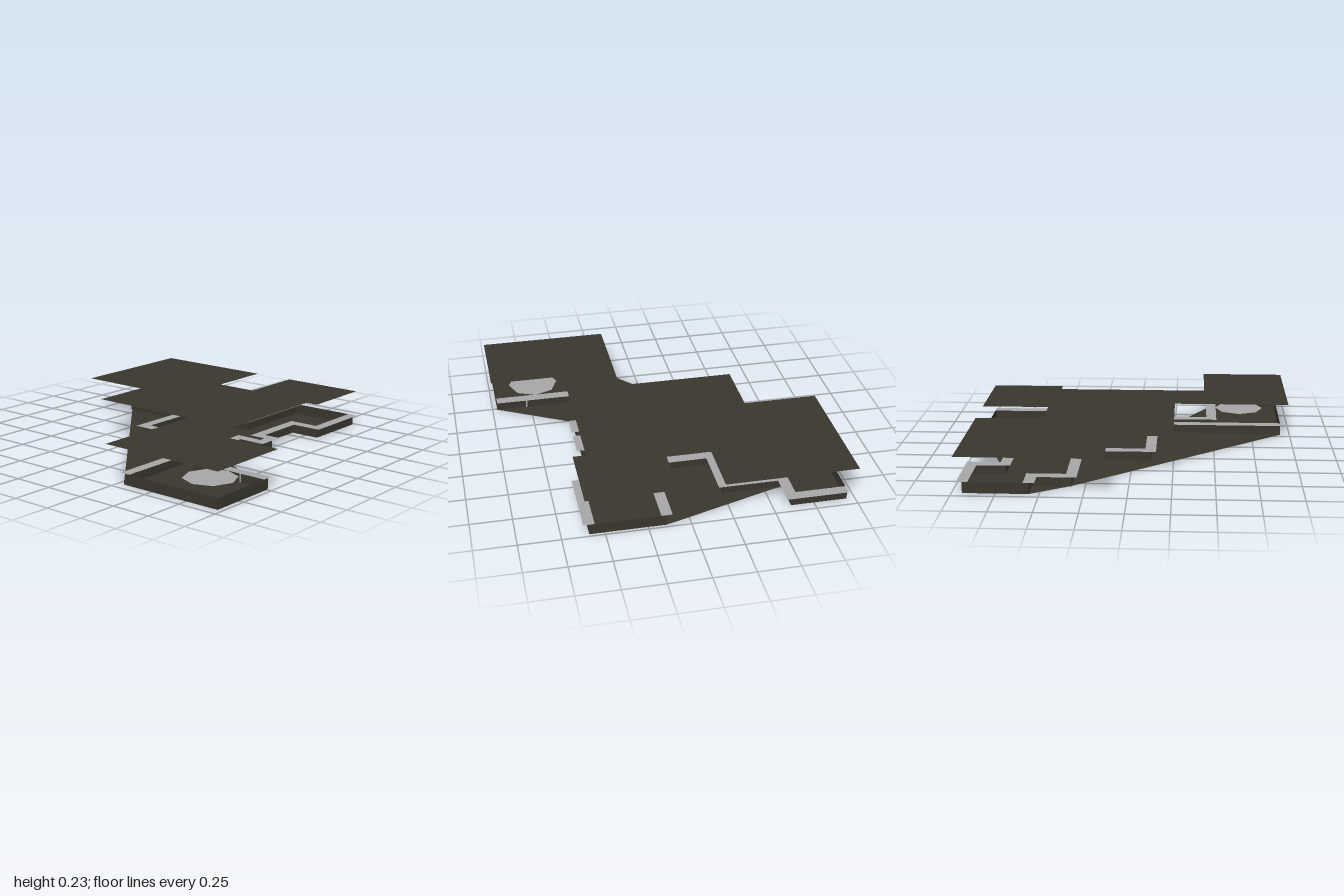
import * as THREE from 'three';

const WALL_H = 0.065, ROOF_Y = 0.23, LEDGE = 0.066;

// Outline of the overhanging roof, as x, z corners
const ROOF = [
  [0.13, -1], [0.98, -1], [0.98, -0.2], [0.56, -0.2], [0.56, 0.07], [0.98, 0.07],
  [0.98, 0.61], [0.52, 0.61], [0.52, 0.53], [-0.44, 0.53], [-0.44, 1], [-0.98, 1],
  [-0.98, 0.19], [-0.25, 0.19], [-0.25, -0.54], [0.13, -0.54],
];

// Closed run of low walls: x, z and whether the wall starting here has a ledge
const WALLS = [
  [0.94, -0.95, 1], [0.94, -0.61, 1], [0.74, -0.61, 1], [0.74, -0.25, 1],
  [0.42, -0.25, 1], [0.42, 0.14, 1], [0.98, 0.14, 0], [0.98, 0.59, 1],
  [0.56, 0.59, 1], [0.56, 0.4, 1], [0.18, 0.4, 1], [0.18, 0.51, 1],
  [0.07, 0.51, 1], [0.07, 0.34, 1], [-0.04, 0.34, 1], [-0.04, 0.51, 1],
  [-0.115, 0.51, 1], [-0.115, 0.37, 1], [-0.195, 0.37, 1], [-0.195, 0.43, 1],
  [-0.49, 0.43, 1], [-0.49, 0.97, 0], [-0.94, 0.97, 0], [-0.94, 0.3, 1],
  [-0.11, 0.3, 1], [-0.11, -0.3, 1], [0.33, -0.3, 1], [0.33, -0.81, 1],
  [0.56, -0.81, 1], [0.56, -0.95, 0],
];

// Floor slab outline, cutting across the inner corners
const FLOOR = [
  [0.94, -0.95], [0.94, -0.61], [0.74, -0.61], [0.98, 0.14], [0.98, 0.59],
  [0.56, 0.59], [0.56, 0.4], [0.18, 0.4], [0.18, 0.51], [0.07, 0.51],
  [0.07, 0.34], [-0.04, 0.34], [-0.04, 0.51], [-0.115, 0.51], [-0.115, 0.37],
  [-0.195, 0.43], [-0.49, 0.97], [-0.94, 0.97], [-0.94, 0.29], [0.33, -0.8],
  [0.56, -0.95],
];

export function createModel() {
  const model = new THREE.Group();
  const dark = new THREE.MeshStandardMaterial({ color: 0x38362d, side: THREE.DoubleSide });
  dark.name = 'dark olive';
  const grey = new THREE.MeshStandardMaterial({ color: 0xa6a6a6, side: THREE.DoubleSide });
  grey.name = 'light grey';

  const add = (parent, name, geometry, material, x = 0, y = 0, z = 0) => {
    const mesh = new THREE.Mesh(geometry, material);
    mesh.name = name;
    mesh.position.set(x, y, z);
    parent.add(mesh);
    return mesh;
  };
  const plate = (points) => new THREE.ShapeGeometry(
    new THREE.Shape(points.map(([x, z]) => new THREE.Vector2(x, -z))),
  ).rotateX(-Math.PI / 2);

  add(model, 'floor', plate(FLOOR), dark);
  add(model, 'roof', plate(ROOF), dark, 0, ROOF_Y);

  // Low walls, each topped by a flat ledge where marked
  const walls = new THREE.Group();
  walls.name = 'walls';
  const ledges = new THREE.Group();
  ledges.name = 'ledges';
  model.add(walls, ledges);
  const n = WALLS.length;
  WALLS.forEach(([x0, z0, hasLedge], i) => {
    const [x1, z1, nextLedge] = WALLS[(i + 1) % n];
    const length = Math.hypot(x1 - x0, z1 - z0);
    const angle = -Math.atan2(z1 - z0, x1 - x0);
    const wall = add(walls, 'wall', new THREE.PlaneGeometry(length, WALL_H), dark,
      (x0 + x1) / 2, WALL_H / 2, (z0 + z1) / 2);
    wall.rotation.y = angle;
    if (!hasLedge) return;

    // Ledges run past a corner only when they meet another ledge
    const before = WALLS[(i + n - 1) % n][2] ? LEDGE / 2 : 0;
    const after = nextLedge ? LEDGE / 2 : 0;
    const strip = new THREE.PlaneGeometry(length + before + after, LEDGE)
      .rotateX(-Math.PI / 2).translate((after - before) / 2, 0, 0);
    add(ledges, 'ledge', strip, grey, (x0 + x1) / 2, WALL_H + 0.001, (z0 + z1) / 2)
      .rotation.y = angle;
  });

  // Flat panel inside the front wing and a narrow light strip on its wall
  add(model, 'wingPanel', new THREE.CircleGeometry(0.16, 8).rotateX(-Math.PI / 2), grey, -0.68, WALL_H, 0.71);
  add(model, 'wallSlit', new THREE.BoxGeometry(0.006, WALL_H, 0.01), grey, -0.488, WALL_H / 2, 0.775);

  return model;
}
